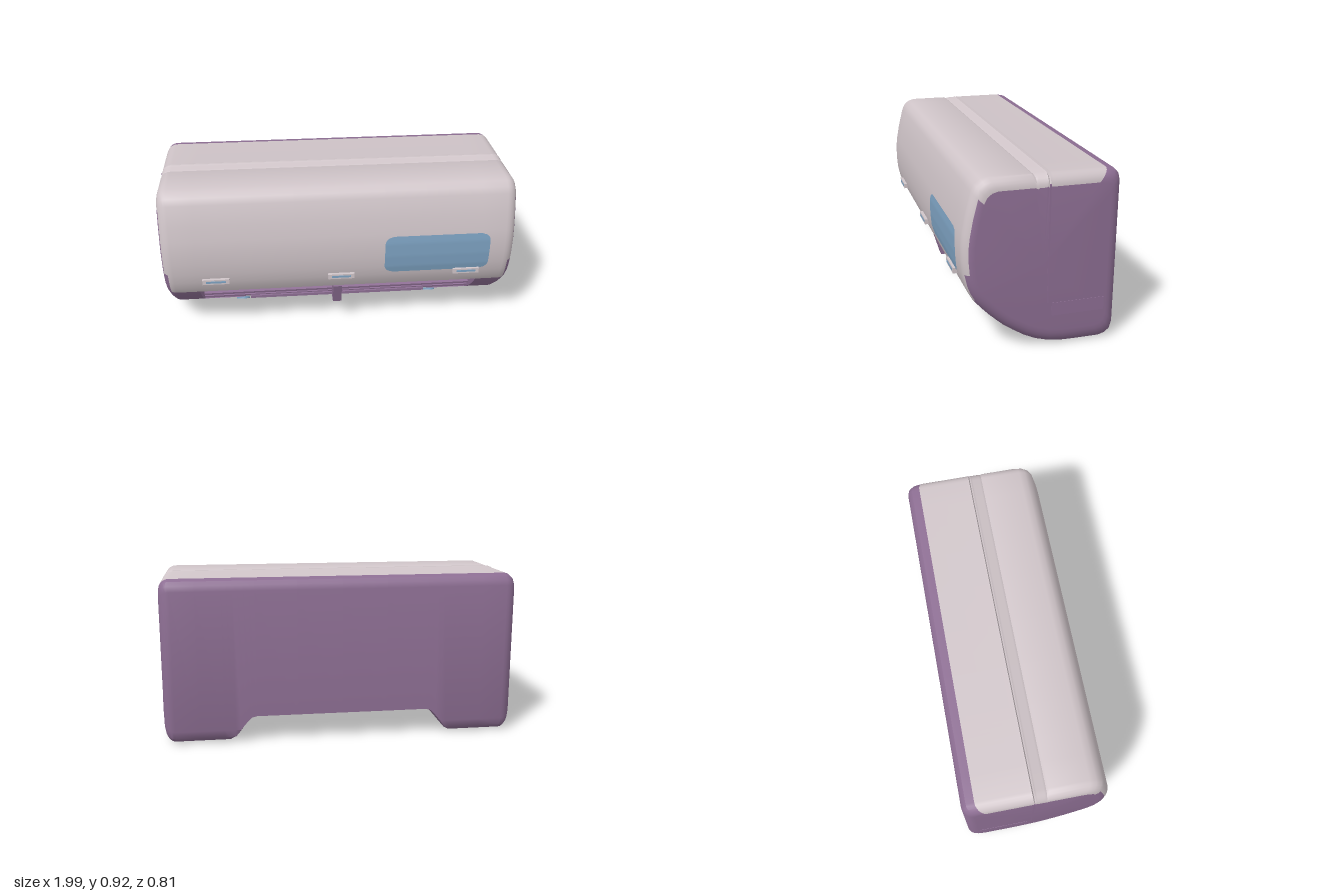
import * as THREE from 'three';
import { toCreasedNormals } from 'three/addons/utils/BufferGeometryUtils.js';

// Cross-section as [z, y]: over the top, down the front, under and up the back
const UPPER = [
  [-0.33, 0.917], [-0.045, 0.917], [-0.033, 0.92], [-0.027, 0.908], [-0.02, 0.92], [-0.01, 0.915],
  [0.03, 0.915], [0.042, 0.909], [0.055, 0.917], [0.27, 0.917], [0.305, 0.908], [0.335, 0.885],
  [0.352, 0.85], [0.38, 0.74], [0.397, 0.65], [0.404, 0.59], [0.404, 0.51], [0.398, 0.44],
  [0.385, 0.38], [0.369, 0.335], [0.345, 0.292],
];
const CURVE = [[0.31, 0.25], [0.27, 0.208], [0.235, 0.175], [0.19, 0.135]];
const OUTLET = [[0.27, 0.287], [0.08, 0.275], [0.055, 0.2], [0.07, 0.11]];
const LOWER = [
  [0.14, 0.1], [0.08, 0.062], [0.02, 0.033], [-0.05, 0.012], [-0.13, 0.002], [-0.2, 0], [-0.33, 0],
  [-0.365, 0.01], [-0.39, 0.032], [-0.402, 0.075], [-0.402, 0.855], [-0.395, 0.885], [-0.375, 0.907],
];
const WHITE_END = UPPER.length - 1;

// Underside is raised between the two feet
const floorAt = (x) => 0.15 * (1 - THREE.MathUtils.smoothstep(Math.abs(x), 0.49, 0.64));

// Front surface depth at a given height
function frontZ(y) {
  for (let i = 10; i < WHITE_END; i++) {
    const [z0, y0] = UPPER[i], [z1, y1] = UPPER[i + 1];
    if (y <= y0 && y >= y1) return z0 + ((z1 - z0) * (y0 - y)) / (y0 - y1);
  }
  return 0.4;
}

// One ring of points; inset shrinks it for the rounded ends
function ring({ x, open, inset }) {
  return [...UPPER, ...(open ? OUTLET : CURVE), ...LOWER].map(([z, y]) => {
    const low = y < 0.46 ? 1.5 : 1;
    return new THREE.Vector3(
      x,
      Math.max(0.46 + (y - 0.46) * (1 - (inset * low) / 0.46), floorAt(x)),
      z * (1 - inset / 0.4),
    );
  });
}

function bodyGeometry() {
  const half = [];
  for (const x of [0, 0.25, 0.48, 0.51, 0.54, 0.57, 0.6, 0.63, 0.66, 0.8]) half.push({ x, open: true, inset: 0 });
  half.push({ x: 0.8, open: false, inset: 0 });
  const r = 0.06;
  for (let k = 0; k <= 6; k++) {
    const t = (k / 6) * Math.PI / 2;
    half.push({ x: 0.992 - r + r * Math.sin(t), open: false, inset: r * (1 - Math.cos(t)) });
  }
  const stations = [...half.slice(1).reverse().map((s) => ({ ...s, x: -s.x })), ...half];
  const rings = stations.map(ring);
  const n = rings[0].length, white = [], purple = [];
  const tri = (list, a, b, c) => {
    const area = b.clone().sub(a).cross(c.clone().sub(a)).length();
    if (area > 1e-9) list.push(...a.toArray(), ...b.toArray(), ...c.toArray());
  };
  for (let i = 0; i < rings.length - 1; i++) {
    for (let j = 0; j < n; j++) {
      const k = (j + 1) % n;
      const a = rings[i][j], b = rings[i][k], c = rings[i + 1][k], d = rings[i + 1][j];
      const reach = Math.abs(a.x + c.x) / 2;
      const isWhite = j < WHITE_END && (reach < (j < 12 ? 2 : b.y < 0.42 ? 0.965 : 0.982));
      const list = isWhite ? white : purple;
      tri(list, a, b, c);
      tri(list, a, c, d);
    }
  }
  // Flat end caps
  const first = rings[0], last = rings[rings.length - 1];
  for (let j = 0; j < n; j++) {
    const k = (j + 1) % n;
    tri(purple, new THREE.Vector3(last[0].x, 0.46, 0), last[j], last[k]);
    tri(purple, new THREE.Vector3(first[0].x, 0.46, 0), first[k], first[j]);
  }
  const g = new THREE.BufferGeometry();
  g.setAttribute('position', new THREE.Float32BufferAttribute([...white, ...purple], 3));
  const out = toCreasedNormals(g, 0.6);
  out.clearGroups();
  out.addGroup(0, white.length / 3, 0);
  out.addGroup(white.length / 3, purple.length / 3, 1);
  return out;
}

// Rounded panel that follows the curved front
function panelGeometry(x0, x1, y0, y1, r) {
  const g = new THREE.PlaneGeometry(2, 2, 8, 24);
  const p = g.attributes.position;
  const cx = (x0 + x1) / 2, cy = (y0 + y1) / 2, w = (x1 - x0) / 2, h = (y1 - y0) / 2;
  for (let i = 0; i < p.count; i++) {
    const dy = p.getY(i) * h;
    const e = Math.max(0, Math.abs(dy) - (h - r));
    const hw = w - r + Math.sqrt(Math.max(0, r * r - e * e));
    p.setXYZ(i, cx + p.getX(i) * hw, cy + dy, frontZ(cy + dy) + 0.004);
  }
  g.computeVertexNormals();
  return g;
}

export function createModel() {
  const white = new THREE.MeshStandardMaterial({ color: 0xd0c5c9 });
  white.name = 'warm white';
  const purple = new THREE.MeshStandardMaterial({ color: 0x8e6f94 });
  purple.name = 'muted purple';
  const blue = new THREE.MeshStandardMaterial({ color: 0x7ea3c3 });
  blue.name = 'soft blue';

  const model = new THREE.Group();
  model.name = 'wallUnit';
  const add = (name, geometry, material, x = 0, y = 0, z = 0) => {
    const m = new THREE.Mesh(geometry, material);
    m.name = name;
    m.position.set(x, y, z);
    model.add(m);
    return m;
  };
  const box = (w, h, d) => new THREE.BoxGeometry(w, h, d);

  add('body', bodyGeometry(), [white, purple]);
  add('displayPanel', panelGeometry(0.25, 0.845, 0.4, 0.635, 0.05), blue);

  // Clips along the lower front edge
  for (const x of [-0.7, 0.005, 0.72]) {
    add('clip', box(0.15, 0.03, 0.03), white, x, 0.392, 0.393);
    add('clipInset', box(0.11, 0.012, 0.006), blue, x, 0.392, 0.407);
  }

  // Air outlet: floor, slats and centre strut
  add('outletFloor', box(1.04, 0.016, 0.16), purple, 0, 0.158, 0.15);
  add('lowerSlat', box(1.58, 0.014, 0.1), purple, 0, 0.178, 0.17).rotation.x = 0.25;
  add('upperSlat', box(1.58, 0.014, 0.08), purple, 0, 0.208, 0.2).rotation.x = 0.25;
  const strut = new THREE.Shape([[0.34, 0.28], [0.3, 0.148], [0.2, 0.148], [0.2, 0.29], [0.335, 0.29]]
    .map(([z, y]) => new THREE.Vector2(-z, y)));
  const strutGeometry = new THREE.ExtrudeGeometry(strut, { depth: 0.05, bevelEnabled: false });
  strutGeometry.rotateY(Math.PI / 2);
  add('centreStrut', strutGeometry, purple, -0.035);

  for (const s of [-1, 1]) {
    // Blue pad on the inner slope of each foot
    const pad = add('footPad', new THREE.CylinderGeometry(0.04, 0.04, 0.008, 24), blue, s * 0.57, 0.092, 0.137);
    pad.rotation.x = Math.PI - 0.54;
    // Raised trim lines on the sides
    add('sideSeam', box(0.006, 0.62, 0.008), purple, s * 0.991, 0.56, -0.027);
    add('sideTrim', box(0.006, 0.07, 0.28), purple, s * 0.991, 0.212, -0.19);
  }
  return model;
}
